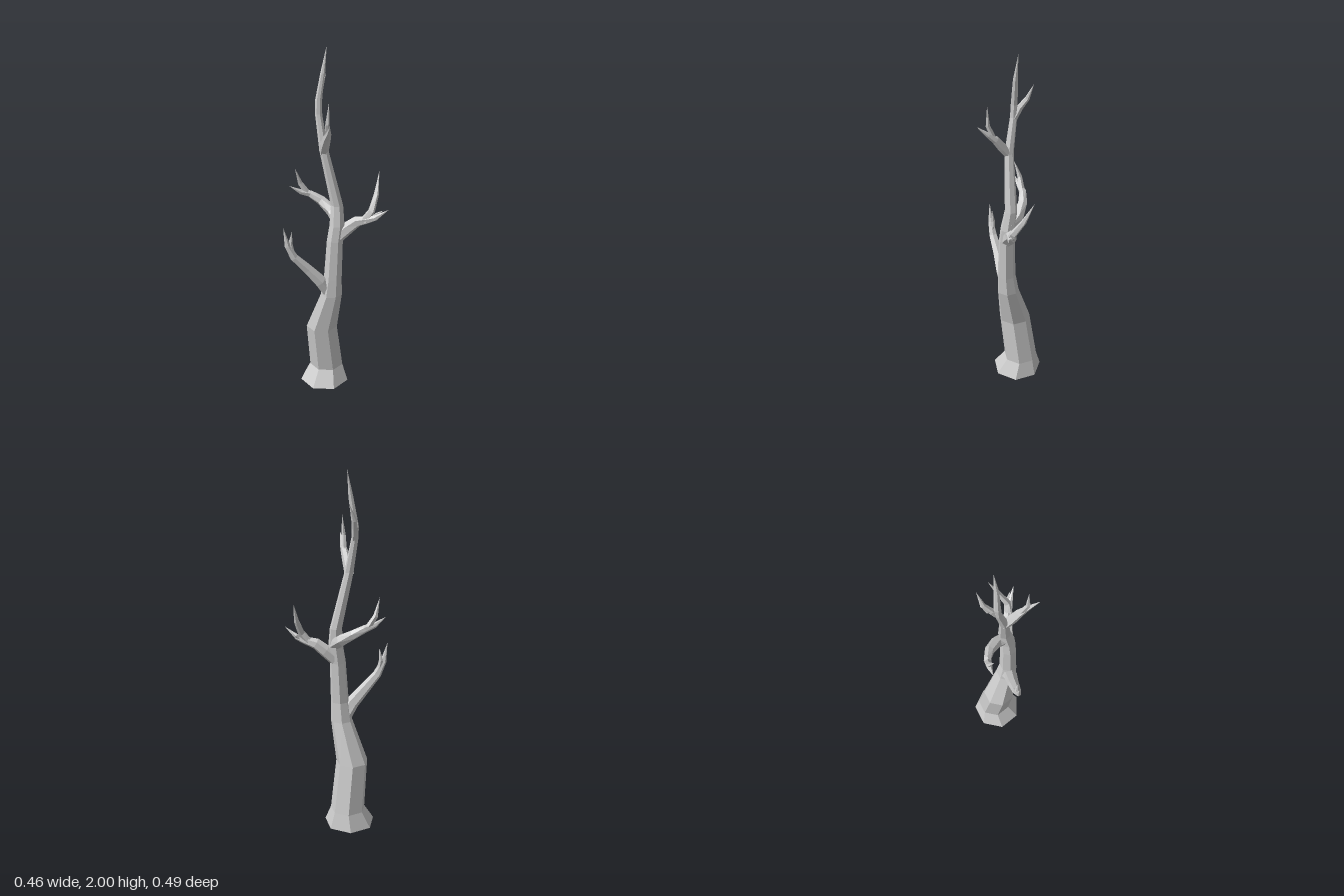
import * as THREE from 'three';

const bark = new THREE.MeshStandardMaterial({ color: 0xcccccc, flatShading: true, side: THREE.DoubleSide });
const UP = new THREE.Vector3(0, 1, 0);

// Faceted limb through rows of [x, y, z, radius]; a zero radius closes to a point.
function limb(name, rows, sides = 6, level = false, spin = 0.3) {
  const centres = rows.map(([x, y, z]) => new THREE.Vector3(x, y, z));
  const positions = [];
  const index = [];
  rows.forEach((row, i) => {
    const before = centres[Math.max(i - 1, 0)];
    const after = centres[Math.min(i + 1, rows.length - 1)];
    const direction = level ? UP : after.clone().sub(before).normalize();
    const turn = new THREE.Quaternion().setFromUnitVectors(UP, direction);
    for (let k = 0; k < sides; k++) {
      const a = spin + (k / sides) * Math.PI * 2;
      const p = new THREE.Vector3(Math.cos(a), 0, Math.sin(a)).multiplyScalar(row[3]);
      positions.push(...p.applyQuaternion(turn).add(centres[i]).toArray());
      if (i === 0) continue;
      const low = (i - 1) * sides, next = (k + 1) % sides;
      index.push(low + k, low + sides + k, low + next);
      if (row[3] > 0) index.push(low + next, low + sides + k, low + sides + next);
    }
  });
  const geometry = new THREE.BufferGeometry();
  geometry.setAttribute('position', new THREE.Float32BufferAttribute(positions, 3));
  geometry.setIndex(index);
  const flat = geometry.toNonIndexed();
  flat.computeVertexNormals();
  const mesh = new THREE.Mesh(flat, bark);
  mesh.name = name;
  return mesh;
}

// A branch with its twigs
function branch(name, rows, ...twigs) {
  const group = new THREE.Group();
  group.name = name;
  group.add(limb(name + 'Stem', rows));
  twigs.forEach((twig, i) => group.add(limb(name + 'Twig' + (i + 1), twig, 5)));
  return group;
}

export function createModel() {
  const tree = new THREE.Group();
  tree.name = 'bareTree';

  // Trunk with flared foot, open underneath
  tree.add(limb('trunk', [
    [-0.09, 0, 0, 0.142],
    [-0.095, 0.095, -0.02, 0.098],
    [-0.087, 0.375, 0.02, 0.09],
    [-0.013, 0.61, 0.01, 0.061],
    [0, 0.72, 0.01, 0.051],
    [0.008, 0.95, 0.002, 0.045],
    [0.012, 1.04, -0.01, 0.042],
    [0, 1.15, -0.02, 0.034],
    [-0.048, 1.46, 0.03, 0.025],
    [-0.088, 1.65, 0.032, 0.019],
    [-0.09, 1.72, 0.03, 0.018],
    [-0.076, 1.86, 0.012, 0.013],
    [-0.07, 2, -0.01, 0],
  ], 7, true, -1.5));

  // Lowest branch, reaching forward
  tree.add(branch('frontBranch', [
    [-0.02, 0.63, 0.025, 0.042],
    [-0.037, 0.7, 0.07, 0.038],
    [-0.075, 0.78, 0.13, 0.031],
    [-0.11, 0.86, 0.195, 0.024],
    [-0.128, 0.93, 0.224, 0.017],
    [-0.14, 1.04, 0.242, 0],
  ], [
    [-0.115, 0.87, 0.205, 0.018],
    [-0.125, 0.94, 0.208, 0.013],
    [-0.115, 1.015, 0.203, 0],
  ]));

  // Middle branch on the right side
  tree.add(branch('rightBranch', [
    [0.01, 1.06, -0.02, 0.036],
    [-0.05, 1.095, -0.028, 0.034],
    [-0.12, 1.14, -0.008, 0.027],
    [-0.17, 1.175, 0.03, 0.021],
    [-0.195, 1.19, 0.075, 0.015],
    [-0.222, 1.23, 0.133, 0],
  ], [
    [-0.175, 1.175, 0.04, 0.018],
    [-0.2, 1.24, 0.075, 0.014],
    [-0.195, 1.335, 0.112, 0],
  ]));

  // Middle branch on the left side, reaching back
  tree.add(branch('leftBranch', [
    [0.015, 0.97, -0.012, 0.038],
    [0.05, 1.02, -0.055, 0.036],
    [0.085, 1.06, -0.09, 0.031],
    [0.13, 1.075, -0.125, 0.022],
    [0.165, 1.09, -0.15, 0.016],
    [0.228, 1.148, -0.188, 0],
  ], [
    [0.115, 1.065, -0.11, 0.024],
    [0.138, 1.12, -0.145, 0.02],
    [0.12, 1.2, -0.195, 0.015],
    [0.09, 1.315, -0.243, 0],
  ], [
    [0.15, 1.08, -0.14, 0.013],
    [0.16, 1.105, -0.165, 0.01],
    [0.195, 1.135, -0.18, 0],
  ]));

  // Upper branch on the left side
  tree.add(branch('upperLeftBranch', [
    [-0.05, 1.45, 0.03, 0.025],
    [-0.015, 1.5, 0.05, 0.025],
    [0.02, 1.55, 0.066, 0.021],
    [0.055, 1.585, 0.084, 0.014],
    [0.106, 1.64, 0.118, 0],
  ], [
    [0.025, 1.55, 0.068, 0.016],
    [0.052, 1.635, 0.09, 0.012],
    [0.06, 1.75, 0.085, 0],
  ]));

  // Upper branch on the right side, reaching back
  tree.add(branch('upperRightBranch', [
    [-0.088, 1.64, 0.03, 0.018],
    [-0.112, 1.7, 0.01, 0.017],
    [-0.135, 1.75, -0.02, 0.013],
    [-0.136, 1.837, -0.06, 0],
  ], [
    [-0.108, 1.69, 0.012, 0.012],
    [-0.13, 1.715, 0.006, 0.009],
    [-0.147, 1.745, -0.008, 0],
  ]));

  return tree;
}
